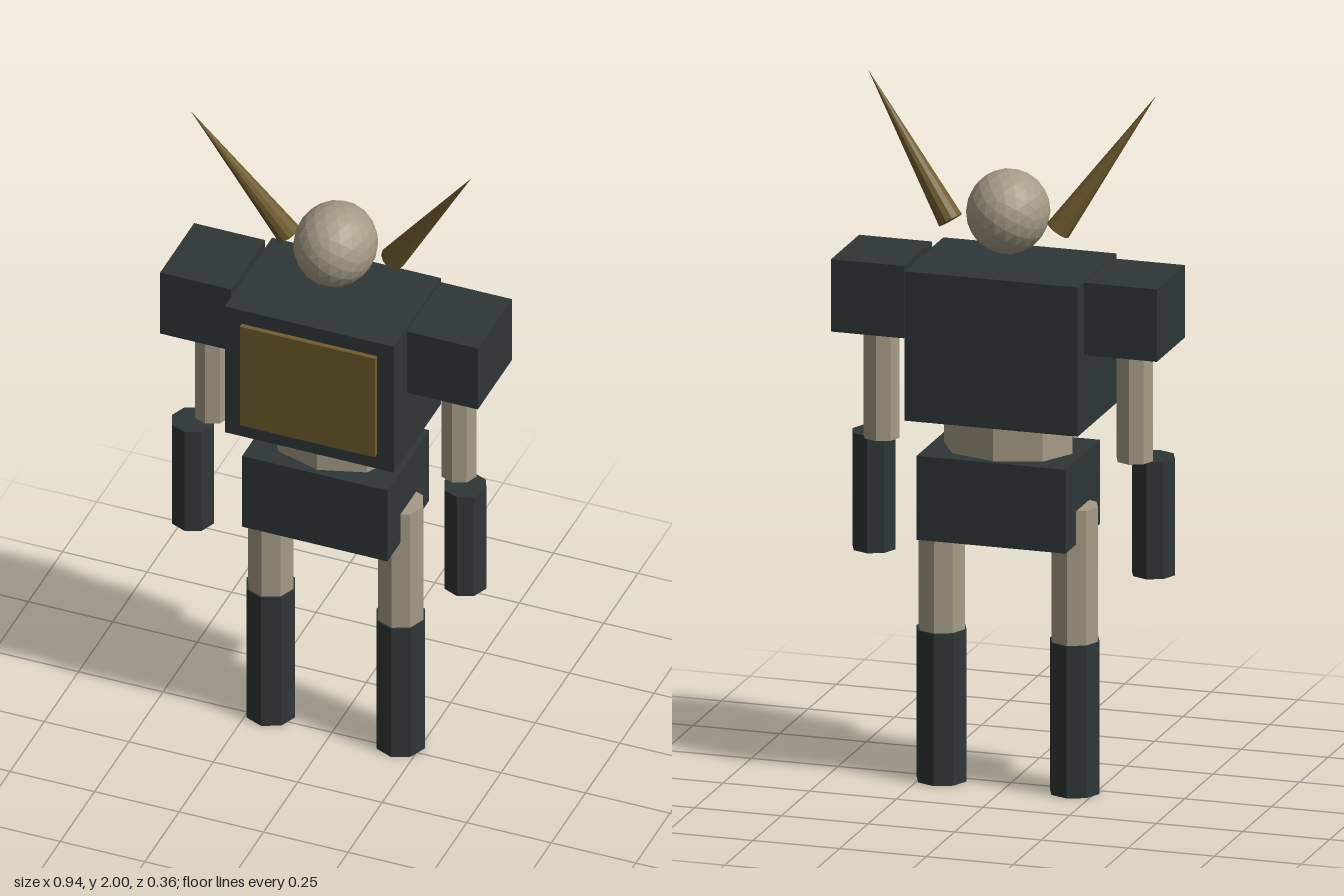
import * as THREE from 'three';

export function createModel() {
  const model = new THREE.Group();
  model.name = 'hornedRobot';

  const material = (name, color) => {
    const m = new THREE.MeshStandardMaterial({ color, flatShading: true });
    m.name = name;
    return m;
  };
  const armor = material('dark armor', 0x2e3736);
  const frame = material('pale frame', 0xa69b86);
  const gold = material('dull gold', 0x705c2d);

  const add = (name, geometry, mat, x, y, z) => {
    const mesh = new THREE.Mesh(geometry, mat);
    mesh.name = name;
    mesh.position.set(x, y, z);
    model.add(mesh);
    return mesh;
  };
  // Box and upright cylinder given by their bottom and top heights
  const box = (name, mat, x, z, w, d, y0, y1) =>
    add(name, new THREE.BoxGeometry(w, y1 - y0, d), mat, x, (y0 + y1) / 2, z);
  const post = (name, mat, x, z, r, y0, y1) =>
    add(name, new THREE.CylinderGeometry(r, r, y1 - y0, 8), mat, x, (y0 + y1) / 2, z);

  // Torso
  box('chest', armor, 0, -0.007, 0.5, 0.345, 1.063, 1.49);
  box('chestPlate', gold, 0, 0.171, 0.4, 0.018, 1.11, 1.445);
  post('waist', frame, 0, -0.027, 0.185, 0.93, 1.08).scale.z = 0.73;
  box('pelvis', armor, 0, -0.026, 0.43, 0.304, 0.725, 0.965);

  // Head
  add('head', new THREE.IcosahedronGeometry(1, 3), frame, 0, 1.642, -0.027)
    .scale.set(0.115, 0.118, 0.125);

  const up = new THREE.Vector3(0, 1, 0);
  for (const [side, s] of [['left', 1], ['right', -1]]) {
    // Arm
    box(side + 'Shoulder', armor, s * 0.365, -0.029, 0.21, 0.248, 1.29, 1.497);
    post(side + 'UpperArm', frame, s * 0.365, -0.027, 0.052, 0.965, 1.32);
    post(side + 'Forearm', armor, s * 0.403, 0.021, 0.062, 0.63, 0.965);

    // Leg
    post(side + 'Thigh', frame, s * 0.192, -0.027, 0.067, 0.4, 0.82);
    post(side + 'Shin', armor, s * 0.192, -0.027, 0.072, 0, 0.435);

    // Horn, aimed from its base beside the head to its tip
    const base = new THREE.Vector3(s * 0.155, 1.612, -0.062);
    const tip = new THREE.Vector3(s * 0.415, 2, 0.006);
    const axis = tip.clone().sub(base);
    const mid = base.clone().add(tip).multiplyScalar(0.5);
    add(side + 'Horn', new THREE.ConeGeometry(0.036, axis.length(), 12), gold, mid.x, mid.y, mid.z)
      .quaternion.setFromUnitVectors(up, axis.normalize());
  }

  return model;
}
